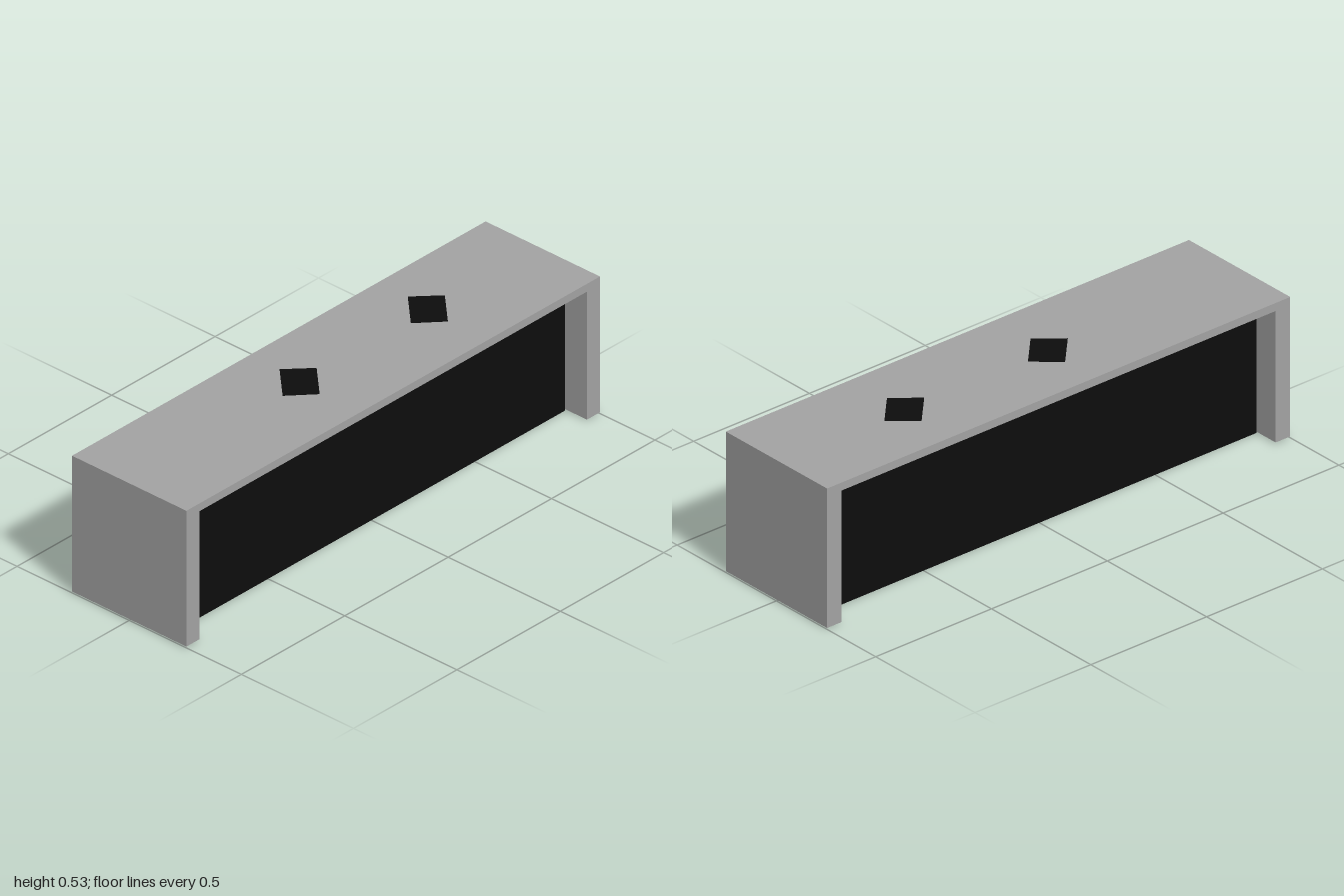
import * as THREE from 'three';

export function createModel() {
  const model = new THREE.Group();
  const grey = new THREE.MeshStandardMaterial({ color: 0xa3a3a3 });
  grey.name = 'grey casing';
  const black = new THREE.MeshStandardMaterial({ color: 0x0d0d0d });
  black.name = 'black';

  const add = (name, geometry, material, x = 0, y = 0, z = 0) => {
    const mesh = new THREE.Mesh(geometry, material);
    mesh.name = name;
    mesh.position.set(x, y, z);
    model.add(mesh);
  };
  const outline = (points) => new THREE.Shape(points.map(([x, y]) => new THREE.Vector2(x, y)));

  // Upside-down U casing: top board and two end boards
  const casing = outline([
    [-1, 0.005], [-0.937, 0.005], [-0.937, 0.497], [0.937, 0.497],
    [0.937, 0.005], [1, 0.005], [1, 0.527], [-1, 0.527],
  ]);
  add('casing', new THREE.ExtrudeGeometry(casing, { depth: 0.51, bevelEnabled: false }), grey, 0, 0, -0.255);

  // Recessed black body filling the opening
  add('body', new THREE.BoxGeometry(1.874, 0.497, 0.316), black, 0, 0.2485, 0);

  // Thin turned plates on top, rising slightly towards the back
  const plate = outline([[-0.1, 0], [-0.008, -0.08], [0.1, 0.033], [0.01, 0.115]]);
  const plateGeometry = new THREE.ExtrudeGeometry(plate, { depth: 0.003, bevelEnabled: false });
  plateGeometry.rotateX(-Math.PI / 2);
  const p = plateGeometry.attributes.position;
  for (let i = 0; i < p.count; i++) p.setY(i, p.getY(i) - 0.02 * p.getZ(i));
  plateGeometry.computeVertexNormals();
  for (const [name, x] of [['rightPlate', -0.158], ['leftPlate', 0.462]]) {
    add(name, plateGeometry, black, x, 0.5288, 0);
  }

  return model;
}
